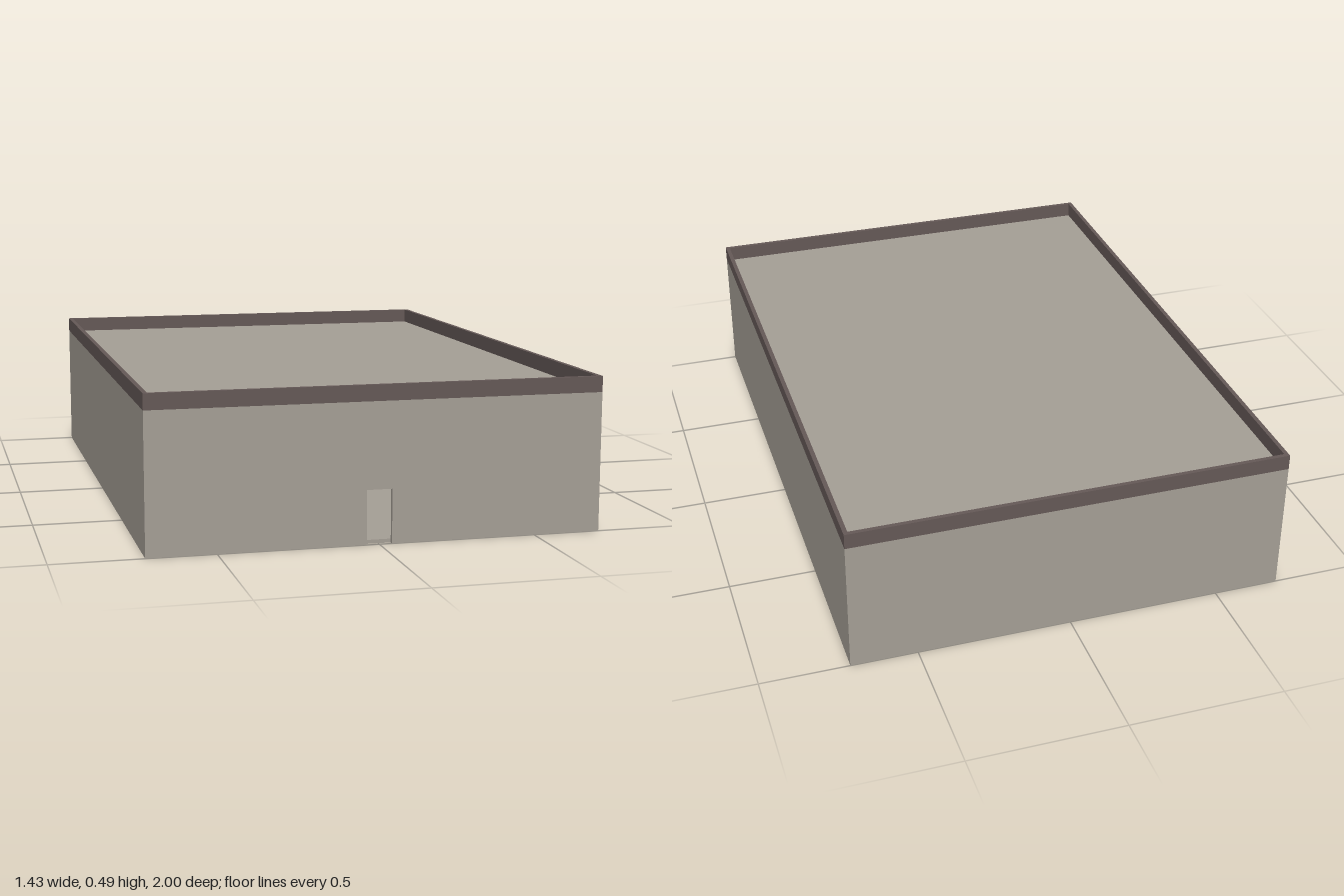
import * as THREE from 'three';

const W = 1.43, D = 2, T = 0.014;          // footprint and wall thickness
const WALL_H = 0.44, TOP = 0.49;           // roof level and parapet top
const DOOR_W = 0.08, DOOR_H = 0.17, SLAB = 0.012;

export function createModel() {
  const group = new THREE.Group();
  const concrete = new THREE.MeshStandardMaterial({ color: 0xa59f96 });
  concrete.name = 'concrete';
  const trim = new THREE.MeshStandardMaterial({ color: 0x655957 });
  trim.name = 'dark trim';

  const add = (name, geometry, material, x, y, z) => {
    const mesh = new THREE.Mesh(geometry, material);
    mesh.name = name;
    mesh.position.set(x, y, z);
    group.add(mesh);
  };
  const box = (name, w, h, d, material, x, y, z) =>
    add(name, new THREE.BoxGeometry(w, h, d), material, x, y, z);

  // Floor and roof slabs fit inside the walls
  const innerW = W - 2 * T, innerD = D - 2 * T;
  box('floor', innerW, SLAB, innerD, concrete, 0, SLAB / 2, 0);
  box('roof', innerW, SLAB, innerD, concrete, 0, WALL_H - SLAB / 2, 0);

  // Side and back walls
  box('leftWall', T, WALL_H, innerD, concrete, (W - T) / 2, WALL_H / 2, 0);
  box('rightWall', T, WALL_H, innerD, concrete, -(W - T) / 2, WALL_H / 2, 0);
  box('backWall', W, WALL_H, T, concrete, 0, WALL_H / 2, -(D - T) / 2);

  // Front wall with an open doorway down to the ground
  const w = W / 2, d = DOOR_W / 2;
  const front = new THREE.Shape([
    [-w, 0], [-d, 0], [-d, DOOR_H], [d, DOOR_H], [d, 0], [w, 0], [w, WALL_H], [-w, WALL_H],
  ].map(([x, y]) => new THREE.Vector2(x, y)));
  add('frontWall', new THREE.ExtrudeGeometry(front, { depth: T, bevelEnabled: false }),
    concrete, 0, 0, D / 2 - T);

  // Parapet ring around the roof
  const rect = (a, b) => [[-a, -b], [a, -b], [a, b], [-a, b]].map(([x, y]) => new THREE.Vector2(x, y));
  const ring = new THREE.Shape(rect(W / 2, D / 2));
  ring.holes.push(new THREE.Path(rect(innerW / 2, innerD / 2).reverse()));
  const parapet = new THREE.ExtrudeGeometry(ring, { depth: TOP - WALL_H, bevelEnabled: false });
  parapet.rotateX(-Math.PI / 2);
  add('parapet', parapet, trim, 0, WALL_H, 0);

  return group;
}
